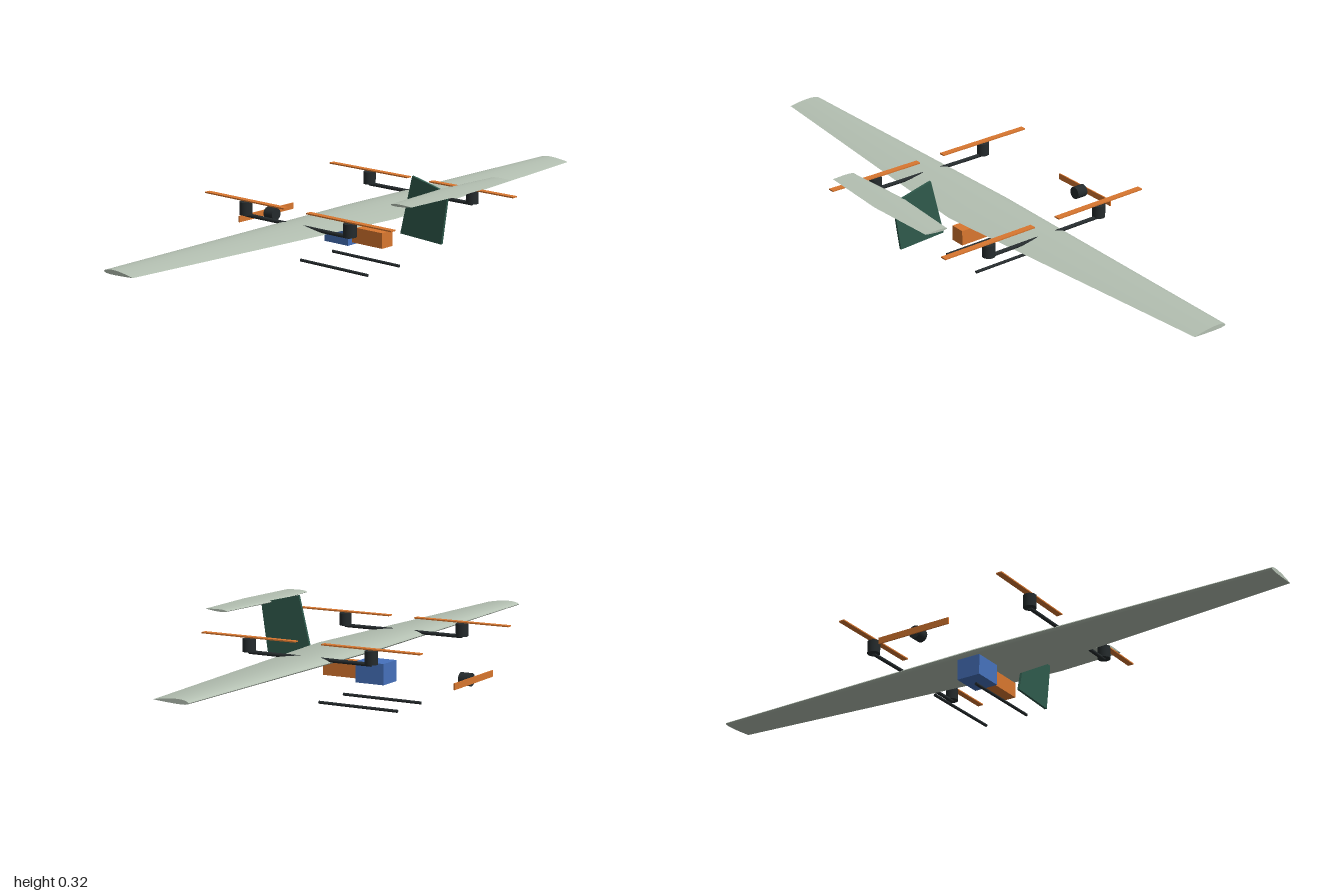
import * as THREE from 'three';
import { toCreasedNormals } from 'three/addons/utils/BufferGeometryUtils.js';

const paint = (color) => new THREE.MeshStandardMaterial({ color });
const dark = paint(0x252b2d), orange = paint(0xd9772f), blue = paint(0x4672bd);
const green = paint(0x2f5a4c), sage = paint(0xb4c0b2);

// Closed airfoil outline on a unit chord, nose at 0: over the top to the tail, back underneath
function airfoil(thick, camber, n = 14) {
  const half = (x) => 5 * thick * (0.2969 * Math.sqrt(x) - 0.126 * x - 0.3516 * x * x + 0.2843 * x ** 3 - 0.1036 * x ** 4);
  const mean = (x) => (x < 0.4 ? (camber / 0.16) * (0.8 * x - x * x) : (camber / 0.36) * (0.2 + 0.8 * x - x * x));
  const pts = [];
  for (let i = 0; i < 2 * n; i++) {
    const x = (1 - Math.cos((Math.PI * i) / n)) / 2;
    pts.push([x, mean(x) + (i <= n ? 1 : -1) * half(x)]);
  }
  return pts;
}

// Loft an airfoil through stations { z, nose, tail, yNose, yTail } ordered by z
function loftWing(profile, stations) {
  const pos = [], index = [], n = profile.length, last = stations.length - 1;
  for (const s of stations) {
    const chord = s.tail - s.nose;
    for (const [u, v] of profile) {
      pos.push(s.nose + u * chord, s.yNose + u * (s.yTail - s.yNose) + v * chord, s.z);
    }
  }
  for (let s = 0; s < last; s++) {
    for (let i = 0; i < n; i++) {
      const a = s * n + i, b = s * n + ((i + 1) % n);
      index.push(a, a + n, b, b, a + n, b + n);
    }
  }
  // flat tip caps
  for (let i = 1; i < n - 1; i++) {
    index.push(0, i, i + 1);
    index.push(last * n, last * n + i + 1, last * n + i);
  }
  const geo = new THREE.BufferGeometry();
  geo.setAttribute('position', new THREE.Float32BufferAttribute(pos, 3));
  geo.setIndex(index);
  return toCreasedNormals(geo, 0.7);
}

export function createModel() {
  const model = new THREE.Group();
  model.name = 'fixedWingDrone';

  const add = (name, geo, mat, x = 0, y = 0, z = 0) => {
    const mesh = new THREE.Mesh(geo, mat);
    mesh.name = name;
    mesh.position.set(x, y, z);
    model.add(mesh);
    return mesh;
  };
  const box = (name, mat, size, x, y, z) => add(name, new THREE.BoxGeometry(...size), mat, x, y, z);
  const rodX = (name, radius, x0, x1, y, z) =>
    add(name, new THREE.CylinderGeometry(radius, radius, x1 - x0, 24).rotateZ(Math.PI / 2), dark, (x0 + x1) / 2, y, z);

  // Main wing, tapered to both tips
  const wingTip = { nose: -0.069, tail: 0.047, yNose: 0.178, yTail: 0.178 };
  const wingRoot = { z: 0, nose: -0.089, tail: 0.134, yNose: 0.176, yTail: 0.176 };
  add('mainWing', loftWing(airfoil(0.12, 0.02), [{ z: -1, ...wingTip }, wingRoot, { z: 1, ...wingTip }]), sage);

  // Tailplane
  const tailTip = { nose: 0.317, tail: 0.394, yNose: 0.291, yTail: 0.294 };
  const tailRoot = { z: 0, nose: 0.301, tail: 0.407, yNose: 0.291, yTail: 0.294 };
  add('tailplane', loftWing(airfoil(0.1, 0), [{ z: -0.235, ...tailTip }, tailRoot, { z: 0.235, ...tailTip }]), sage);

  // Upright fin
  const fin = new THREE.Shape([[0.156, 0.135], [0.316, 0.127], [0.34, 0.287], [0.202, 0.32]]
    .map(([x, y]) => new THREE.Vector2(x, y)));
  add('tailFin', new THREE.ExtrudeGeometry(fin, { depth: 0.008, bevelEnabled: false }), green, 0, 0, -0.004);

  // Equipment boxes under the wing
  box('batteryBox', blue, [0.098, 0.066, 0.08], -0.074, 0.105, 0);
  box('payloadBox', orange, [0.122, 0.049, 0.049], 0.04, 0.1055, 0);

  // Nose motor and its propeller
  rodX('noseMotor', 0.02, -0.404, -0.367, 0.11, 0);
  box('nosePropeller', orange, [0.004, 0.02, 0.25], -0.41, 0.11, 0);

  // Each side: a landing skid, and a boom with two lift motors
  for (const side of [-1, 1]) {
    rodX('landingSkid', 0.0047, -0.191, 0.086, 0.0047, side * 0.074);
    const z = side * 0.285;
    rodX('liftBoom', 0.006, -0.221, 0.203, 0.184, z);
    for (const x of [-0.221, 0.203]) {
      add('liftMotor', new THREE.CylinderGeometry(0.02, 0.02, 0.04, 24), dark, x, 0.205, z);
      box('liftPropeller', orange, [0.332, 0.004, 0.02], x, 0.23, z);
    }
  }
  return model;
}
